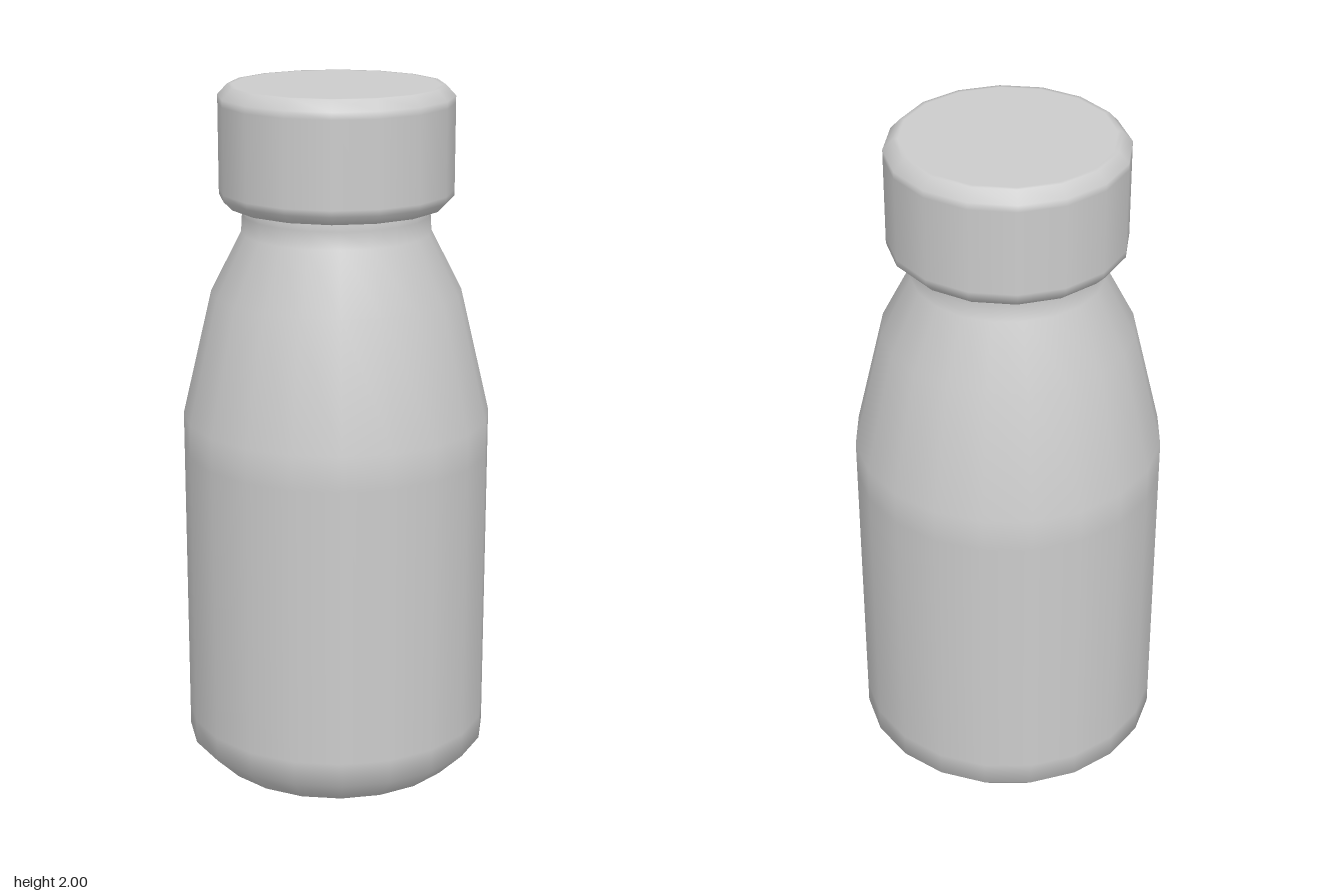
import * as THREE from 'three';

const material = new THREE.MeshStandardMaterial({ color: 0xcccccc });

// Smooth lathe around the y axis; profile runs from bottom to top
function turned(name, profile, sides) {
  const points = profile.map(([r, y]) => new THREE.Vector2(r, y));
  const mesh = new THREE.Mesh(new THREE.LatheGeometry(points, sides), material);
  mesh.name = name;
  return mesh;
}

export function createModel() {
  const group = new THREE.Group();
  group.name = 'bottle';

  // Body: flat base, bevelled foot, straight wall, tapered shoulder, neck into the cap
  group.add(turned('body', [
    [0, 0], [0.345, 0], [0.365, 0.005], [0.44, 0.08], [0.44, 0.15], [0.44, 0.96], [0.44, 1.06],
    [0.355, 1.42], [0.268, 1.59], [0.265, 1.64], [0.265, 1.72], [0, 1.72],
  ], 20));

  // Cap: closed disc with bevelled rims
  group.add(turned('cap', [
    [0, 1.665], [0.29, 1.665], [0.305, 1.667], [0.33, 1.692], [0.33, 1.71],
    [0.33, 1.95], [0.33, 1.97], [0.302, 2], [0.29, 2], [0, 2],
  ], 16));

  return group;
}
